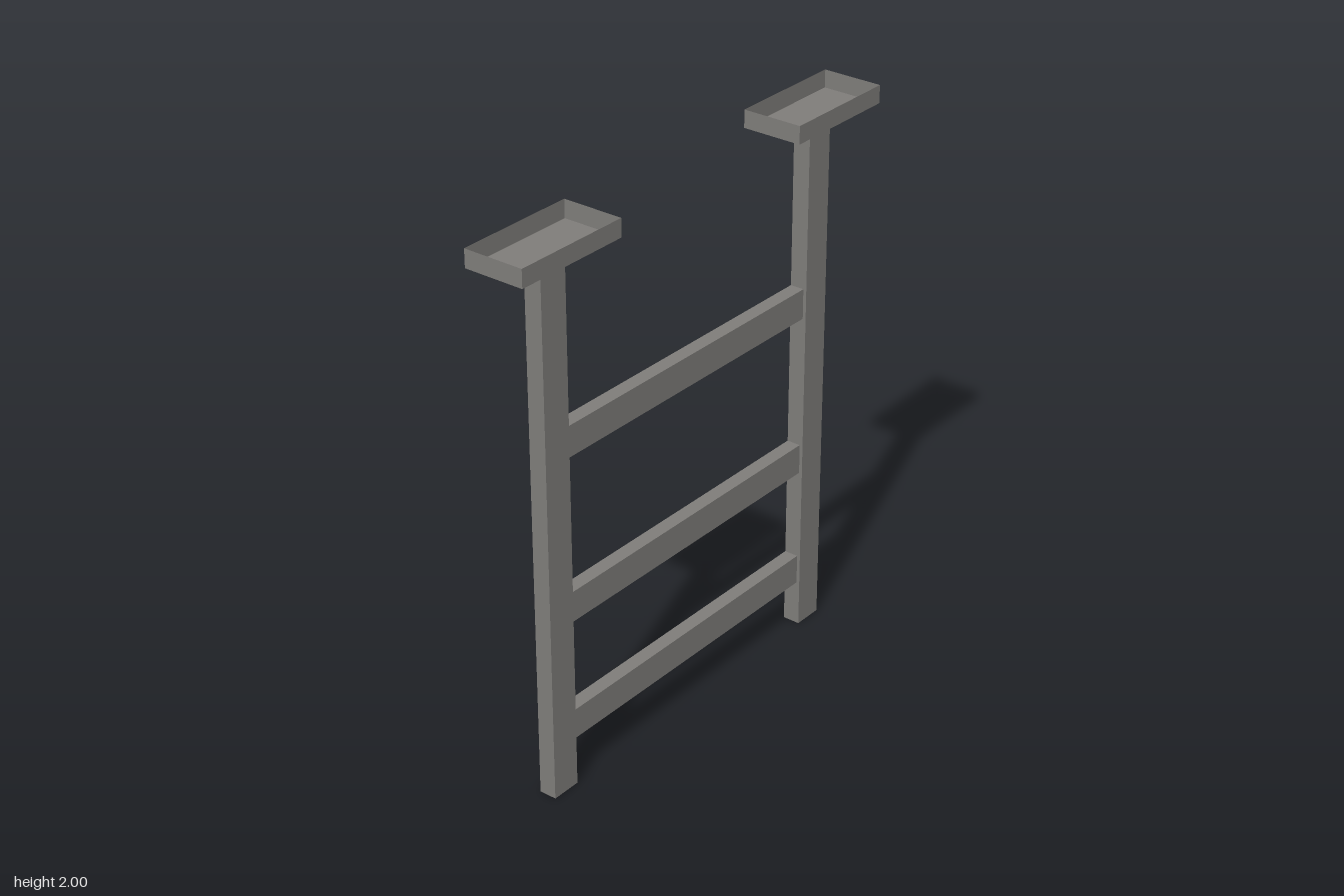
import * as THREE from 'three';

export function createModel() {
  const model = new THREE.Group();
  model.name = 'ladder';
  const steel = new THREE.MeshStandardMaterial({ color: 0x7f7d7a, side: THREE.DoubleSide });
  steel.name = 'grey steel';

  const add = (name, geometry, x, y, z) => {
    const mesh = new THREE.Mesh(geometry, steel);
    mesh.name = name;
    mesh.position.set(x, y, z);
    model.add(mesh);
  };

  // Thin-walled tray: a box without its top face
  const trayGeometry = new THREE.BoxGeometry(0.444, 0.064, 0.222);
  const index = Array.from(trayGeometry.index.array);
  index.splice(12, 6);
  trayGeometry.setIndex(index);
  trayGeometry.clearGroups();

  // Posts, each carrying a tray
  const postTop = 1.936;
  for (const [side, s] of [['left', 1], ['right', -1]]) {
    add(side + 'Post', new THREE.BoxGeometry(0.111, postTop, 0.064), s * 0.667, postTop / 2, 0);
    add(side + 'Tray', trayGeometry, s * 0.667, postTop + 0.032, 0);
  }

  // Rungs, flush with the back of the posts
  [0.224, 0.675, 1.276].forEach((y, i) =>
    add('rung' + (i + 1), new THREE.BoxGeometry(1.223, 0.111, 0.052), 0, y, -0.006));

  return model;
}
